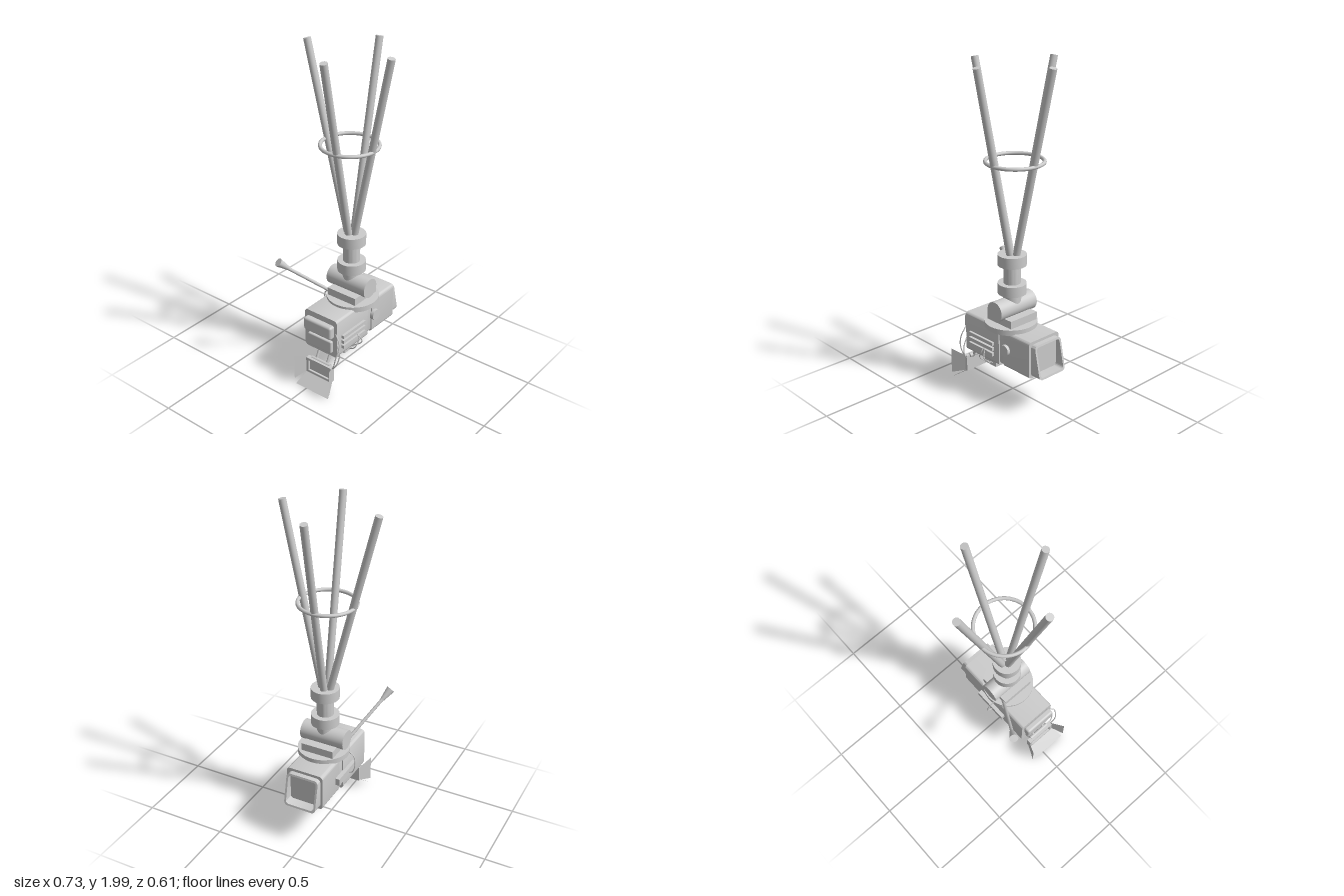
import * as THREE from 'three';
import { toCreasedNormals } from 'three/addons/utils/BufferGeometryUtils.js';
import { RoundedBoxGeometry } from 'three/addons/geometries/RoundedBoxGeometry.js';

const V = (x, y, z) => new THREE.Vector3(x, y, z);

export function createModel() {
  const root = new THREE.Group();
  const grey = new THREE.MeshStandardMaterial({ color: 0xcccccc });
  const thin = new THREE.MeshStandardMaterial({ color: 0xcccccc, side: THREE.DoubleSide });

  function add(name, geometry, material = grey) {
    const mesh = new THREE.Mesh(geometry, material);
    mesh.name = name;
    root.add(mesh);
    return mesh;
  }

  // Box given by its limits on each axis
  function box(name, x0, x1, y0, y1, z0, z1, r = 0) {
    const s = [x1 - x0, y1 - y0, z1 - z0];
    const g = r ? new RoundedBoxGeometry(...s, 3, r) : new THREE.BoxGeometry(...s);
    g.translate((x0 + x1) / 2, (y0 + y1) / 2, (z0 + z1) / 2);
    return add(name, g);
  }

  // Round bar between two points
  function rod(name, a, b, ra, rb = ra, sides = 28) {
    const d = b.clone().sub(a);
    const mesh = add(name, new THREE.CylinderGeometry(rb, ra, d.length(), sides));
    mesh.position.copy(a).add(b).multiplyScalar(0.5);
    mesh.quaternion.setFromUnitVectors(V(0, 1, 0), d.normalize());
    return mesh;
  }

  function roundRect(path, w, h, r) {
    const x = w / 2, y = h / 2;
    path.moveTo(-x + r, -y);
    path.lineTo(x - r, -y).absarc(x - r, -y + r, r, -Math.PI / 2, 0);
    path.lineTo(x, y - r).absarc(x - r, y - r, r, 0, Math.PI / 2);
    path.lineTo(-x + r, y).absarc(-x + r, y - r, r, Math.PI / 2, Math.PI);
    path.lineTo(-x, -y + r).absarc(-x + r, -y + r, r, Math.PI, Math.PI * 1.5);
    return path;
  }

  // Rounded section swept along x, optionally hollow
  function sweep(x0, x1, y0, y1, z0, z1, r, wall = 0) {
    const shape = roundRect(new THREE.Shape(), z1 - z0, y1 - y0, r);
    if (wall) shape.holes.push(roundRect(new THREE.Path(), z1 - z0 - 2 * wall, y1 - y0 - 2 * wall, r * 0.7));
    const g = new THREE.ExtrudeGeometry(shape, { depth: x1 - x0, bevelEnabled: false, curveSegments: 6 });
    return g.rotateY(Math.PI / 2).translate(x0, (y0 + y1) / 2, (z0 + z1) / 2);
  }
  const body = (name, ...a) => add(name, toCreasedNormals(sweep(...a), 0.6));

  // Four splayed legs and the spreader ring
  const legs = [
    [V(0.01, 0.87, 0.022), V(-0.245, 1.99, 0.058)],
    [V(0.05, 0.87, 0.024), V(0.302, 1.99, 0)],
    [V(0.028, 0.87, 0.002), V(0.028, 1.99, -0.285)],
    [V(0.028, 0.87, 0.045), V(0.028, 1.99, 0.282)],
  ];
  legs.forEach(([a, b]) => rod('leg', a, b, 0.0215));
  const ring = add('spreaderRing', new THREE.TorusGeometry(0.165, 0.011, 10, 56));
  ring.rotation.x = Math.PI / 2;
  ring.position.set(0.028, 1.44, 0.012);

  // Stepped central column
  const column = [[0, 0.57], [0.053, 0.57], [0.053, 0.655], [0.084, 0.655], [0.084, 0.718], [0.05, 0.718],
    [0.05, 0.83], [0.084, 0.83], [0.084, 0.895], [0, 0.895]].map(p => new THREE.Vector2(...p));
  add('column', toCreasedNormals(new THREE.LatheGeometry(column, 40), 0.6)).position.set(0.025, 0, 0.03);

  // Tilt head with pan handle
  rod('tiltBarrel', V(0.025, 0.572, -0.112), V(0.025, 0.572, 0.168), 0.06, 0.06, 40);
  box('tiltBlock', -0.075, 0.128, 0.485, 0.535, -0.07, 0.135);
  rod('panDisc', V(0.025, 0.455, 0.04), V(0.025, 0.488, 0.04), 0.156, 0.156, 48);
  rod('panHandle', V(-0.05, 0.5, -0.066), V(-0.28, 0.717, -0.2), 0.01, 0.01, 16);
  rod('handleGrip', V(-0.273, 0.712, -0.197), V(-0.325, 0.764, -0.227), 0.012, 0.026, 24);

  // Camera housing
  body('rearBody', -0.255, 0.035, 0.222, 0.473, -0.094, 0.146, 0.022);
  body('bodyJoint', 0.03, 0.08, 0.235, 0.455, -0.085, 0.138, 0.022);
  body('frontBody', 0.075, 0.287, 0.233, 0.462, -0.089, 0.146, 0.022);
  box('rearPack', -0.295, -0.25, 0.355, 0.44, -0.075, 0.128, 0.014);
  box('rearLowerPanel', -0.275, -0.25, 0.25, 0.33, -0.06, 0.115, 0.008);
  box('bottomBlock', -0.135, -0.035, 0.172, 0.23, -0.05, 0.105);
  box('backRail', -0.09, 0.13, 0.31, 0.355, -0.117, -0.09);
  for (const y of [0.352, 0.318, 0.284]) box('sideSlat', -0.213, -0.005, y - 0.01, y + 0.01, 0.14, 0.162);
  rod('sideKnob', V(0.097, 0.35, 0.14), V(0.097, 0.35, 0.164), 0.034);

  // Hood with a slanted mouth, and the recessed lens pane
  const hood = sweep(0.285, 0.36, 0.245, 0.445, -0.075, 0.13, 0.025, 0.012);
  const p = hood.attributes.position;
  for (let i = 0; i < p.count; i++) {
    if (p.getX(i) > 0.3) p.setX(i, 0.36 - (p.getY(i) - 0.245) * 0.22);
  }
  add('lensHood', toCreasedNormals(hood, 0.6));
  box('lensPane', 0.28, 0.295, 0.255, 0.435, -0.065, 0.12);

  // Lamp with an open frame facing backwards
  box('lampBack', -0.285, -0.268, 0.065, 0.165, -0.055, 0.132);
  for (const [y0, y1] of [[0.065, 0.08], [0.15, 0.165]]) box('lampFrame', -0.298, -0.283, y0, y1, -0.055, 0.132);
  for (const [z0, z1] of [[-0.055, -0.038], [0.115, 0.132]]) box('lampFrame', -0.298, -0.283, 0.065, 0.165, z0, z1);
  for (const z of [0, 0.08]) {
    rod('lampArm', V(-0.272, 0.15, z), V(-0.232, 0.228, z), 0.009, 0.009, 10);
  }
  rod('lampHinge', V(-0.272, 0.16, -0.03), V(-0.272, 0.16, 0.108), 0.012, 0.012, 12);

  // Flared barn doors
  function door(a, b, c, d) {
    const g = new THREE.BufferGeometry().setFromPoints([a, b, c, a, c, d]);
    g.computeVertexNormals();
    add('barnDoor', g, thin);
  }
  for (const [zi, zo] of [[-0.055, -0.09], [0.132, 0.175]]) {
    door(V(-0.283, 0.065, zi), V(-0.283, 0.165, zi), V(-0.365, 0.196, zo), V(-0.365, 0.035, zo));
  }
  door(V(-0.283, 0.065, -0.055), V(-0.283, 0.065, 0.132), V(-0.365, 0.002, 0.165), V(-0.365, 0.002, -0.08));

  // Loose cables
  const cables = [
    [V(-0.255, 0.39, 0.135), V(-0.265, 0.33, 0.172), V(-0.29, 0.25, 0.165), V(-0.285, 0.17, 0.14), V(-0.275, 0.13, 0.11)],
    [V(-0.25, 0.32, 0.14), V(-0.255, 0.25, 0.165), V(-0.27, 0.18, 0.15), V(-0.275, 0.14, 0.12)],
    [V(-0.08, 0.32, 0.15), V(-0.085, 0.28, 0.175), V(-0.11, 0.23, 0.165), V(-0.085, 0.18, 0.105)],
    [V(-0.075, 0.31, 0.15), V(-0.06, 0.25, 0.178), V(-0.065, 0.19, 0.105)],
    [V(-0.01, 0.47, -0.105), V(-0.008, 0.445, -0.143), V(0, 0.39, -0.155), V(0.003, 0.34, -0.14), V(0, 0.325, -0.11)],
  ];
  for (const pts of cables) {
    add('cable', new THREE.TubeGeometry(new THREE.CatmullRomCurve3(pts), 24, 0.0035, 6));
  }
  return root;
}
